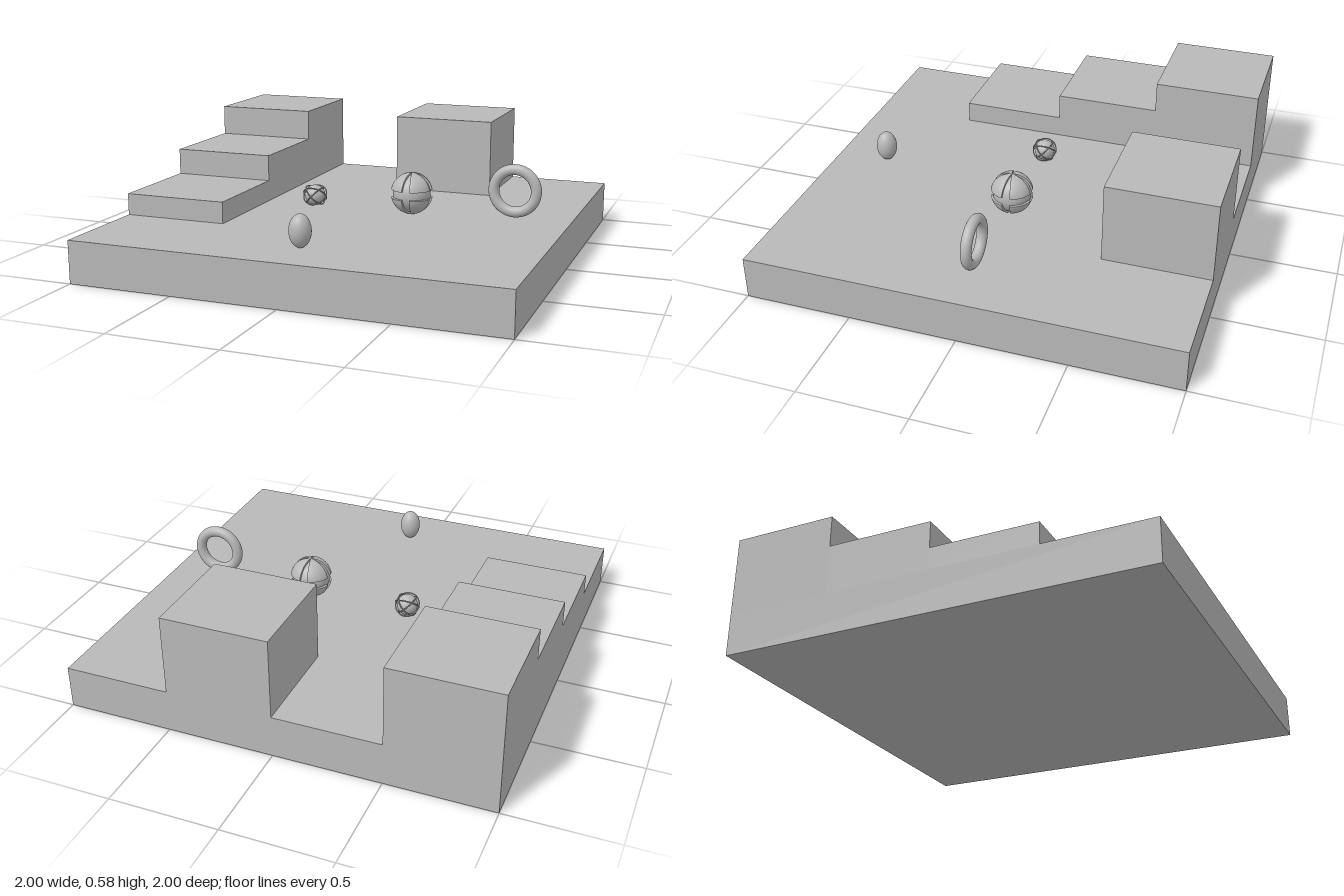
import * as THREE from 'three';

const grey = new THREE.MeshStandardMaterial({ name: 'grey', color: 0xb8b8b8, side: THREE.DoubleSide });

function add(parent, name, geometry, x = 0, y = 0, z = 0) {
  const mesh = new THREE.Mesh(geometry, grey);
  mesh.name = name;
  mesh.position.set(x, y, z);
  parent.add(mesh);
  return mesh;
}

// Box resting on height y0, reaching up to y1
function block(parent, name, x, z, w, d, y0, y1) {
  return add(parent, name, new THREE.BoxGeometry(w, y1 - y0, d), x, (y0 + y1) / 2, z);
}

// Ball of eight separated segments around a smaller core
function segmentedBall(radius, coreRadius, gap) {
  const ball = new THREE.Group();
  ball.name = 'segmentedBall';
  add(ball, 'ballCore', new THREE.SphereGeometry(coreRadius, 40, 24));
  const sweep = Math.PI / 2 - gap;
  const width = Math.PI / 2 - 2 * gap;
  for (const flip of [0, Math.PI]) {
    const half = new THREE.Group();
    half.name = flip ? 'lowerSegments' : 'upperSegments';
    half.rotation.x = flip;
    for (let i = 0; i < 4; i++) {
      const start = i * Math.PI / 2 + gap;
      add(half, 'segmentShell', new THREE.SphereGeometry(radius, 12, 14, start, width, 0, sweep));
      // Rim wall beside the equator groove
      const rim = [coreRadius * 0.97, radius].map(r =>
        new THREE.Vector2(r * Math.sin(sweep), r * Math.cos(sweep)));
      add(half, 'segmentRim', new THREE.LatheGeometry(rim, 12, start - Math.PI / 2, width));
      // Walls beside the meridian grooves
      for (const angle of [start, start + width]) {
        const wall = new THREE.RingGeometry(coreRadius * 0.97, radius, 14, 1, gap, sweep);
        wall.rotateY(Math.PI + angle);
        add(half, 'segmentWall', wall);
      }
    }
    ball.add(half);
  }
  return ball;
}

export function createModel() {
  const model = new THREE.Group();
  model.name = 'blockCourse';

  // Floor slab, staircase and cube
  block(model, 'floor', 0, 0, 2, 2, 0, 0.2);
  [0.577, 0.428, 0.302].forEach((top, i) =>
    block(model, 'step' + (i + 1), -0.75, -0.75 + i * 0.5, 0.5, 0.5, 0.2, top));
  block(model, 'cube', 0.25, -0.75, 0.5, 0.5, 0.2, 0.577);

  // Upright ring
  add(model, 'ring', new THREE.TorusGeometry(0.1, 0.025, 20, 48), 0.75, 0.35, 0);

  // Egg
  const egg = new THREE.SphereGeometry(0.05, 32, 24).scale(1, 1.5, 1);
  add(model, 'egg', egg, 0, 0.275, 0.75);

  // Segmented ball
  const ball = segmentedBall(0.1, 0.09, 0.2);
  ball.position.set(0.25, 0.3, 0);
  model.add(ball);

  // Small orb wrapped in four tilted hoops
  const orb = new THREE.Group();
  orb.name = 'hoopedOrb';
  orb.position.set(-0.25, 0.25, 0);
  add(orb, 'orbCore', new THREE.SphereGeometry(0.05, 32, 20));
  for (const side of [-1, 1]) {
    for (const axis of ['X', 'Z']) {
      const hoop = new THREE.TorusGeometry(0.058, 0.003, 8, 40).rotateX(Math.PI / 2);
      hoop['rotate' + axis](side * Math.PI / 4);
      add(orb, 'hoop', hoop);
    }
  }
  model.add(orb);
  return model;
}
